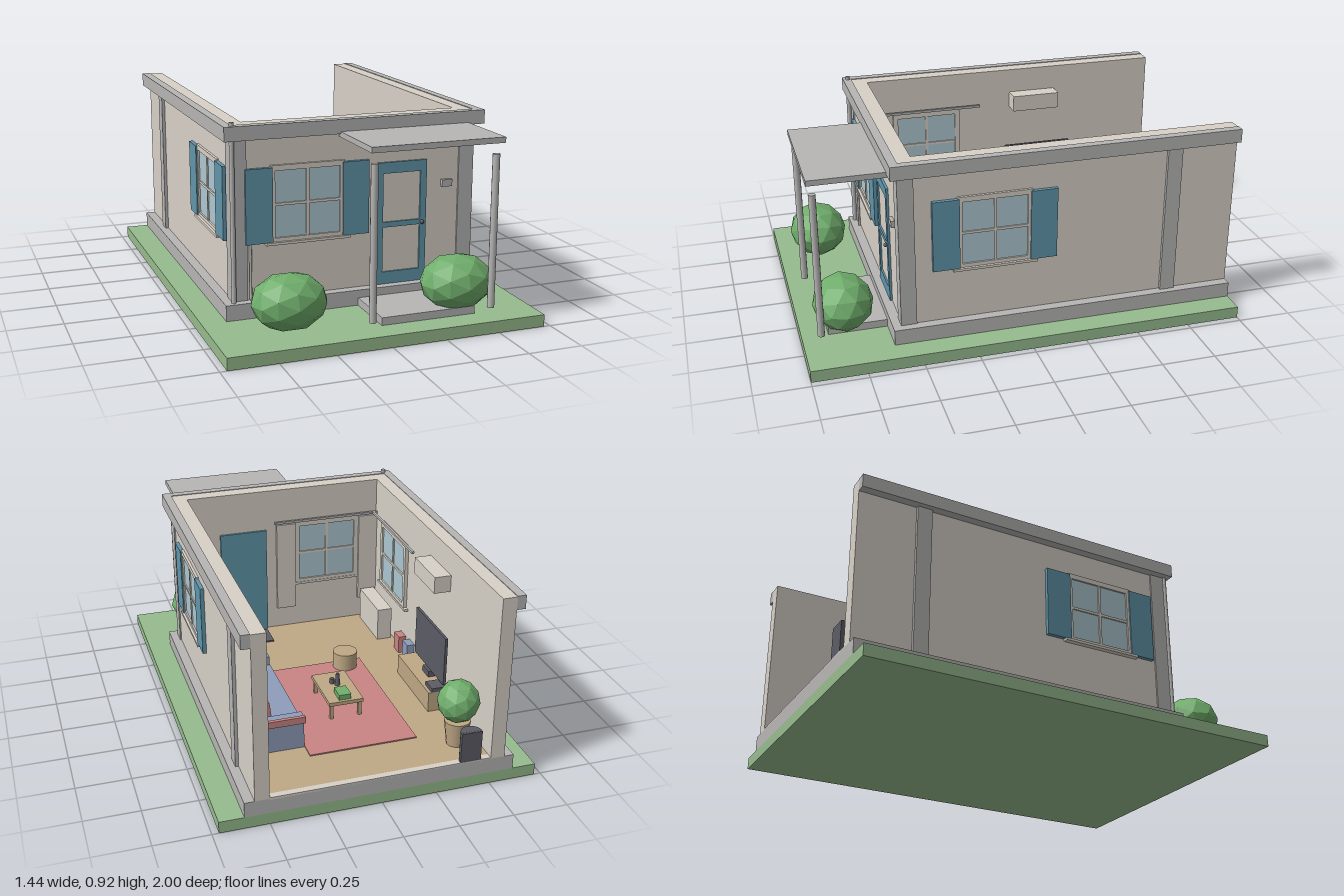
import * as THREE from 'three';

const mat = (name, color, extra = {}) => {
  const m = new THREE.MeshStandardMaterial({ color, ...extra });
  m.name = name;
  return m;
};

export function createModel() {
  const M = {
    lawn: mat('lawn green', 0x97bb8e),
    leaf: mat('leaf green', 0x70ae6c, { flatShading: true }),
    wall: mat('cream', 0xd8d1c7),
    grey: mat('stone grey', 0xb7b6b5),
    blue: mat('shutter blue', 0x6196ab),
    glass: mat('glass blue', 0xaec8d1),
    wood: mat('wood', 0xbfa885),
    red: mat('soft red', 0xca8484),
    sofa: mat('sofa blue', 0x8f9dba),
    dark: mat('charcoal', 0x5c5c66),
  };
  const root = new THREE.Group();
  root.name = 'cottage';

  const add = (parent, name, geo, m, x = 0, y = 0, z = 0) => {
    const mesh = new THREE.Mesh(geo, m);
    mesh.name = name;
    mesh.position.set(x, y, z);
    parent.add(mesh);
    return mesh;
  };
  // Box given by its minimum and maximum on each axis
  const box = (name, m, x0, x1, y0, y1, z0, z1, parent = root) =>
    add(parent, name, new THREE.BoxGeometry(x1 - x0, y1 - y0, z1 - z0), m,
      (x0 + x1) / 2, (y0 + y1) / 2, (z0 + z1) / 2);
  const pole = (name, m, x, z, r, y0, y1, sides = 12, rTop = r, parent = root) =>
    add(parent, name, new THREE.CylinderGeometry(rTop, r, y1 - y0, sides), m, x, (y0 + y1) / 2, z);
  const bush = (name, x, y, z, rx, ry, rz) =>
    add(root, name, new THREE.IcosahedronGeometry(1, 1), M.leaf, x, y, z).scale.set(rx, ry, rz);

  // Site and floor
  box('lawn', M.lawn, -0.72, 0.72, 0, 0.055, -1, 1);
  box('foundation', M.grey, -0.61, 0.61, 0.055, 0.126, -1, 0.61);
  box('floor', M.wood, -0.5, 0.5, 0.12, 0.131, -0.97, 0.495);
  box('threshold', M.wall, -0.5, 0.5, 0.12, 0.131, -1, -0.97);
  box('porchStep', M.grey, 0, 0.44, 0.055, 0.09, 0.61, 0.88);

  // Walls, cornice and pilasters
  box('frontWall', M.wall, -0.5, 0.5, 0.126, 0.9, 0.495, 0.565);
  box('frontCornice', M.grey, -0.605, 0.605, 0.84, 0.903, 0.565, 0.605);
  for (const s of [-1, 1]) {
    const side = (name, m, a, b, y0, y1, z0, z1) =>
      box(name, m, Math.min(s * a, s * b), Math.max(s * a, s * b), y0, y1, z0, z1);
    side('sideWall', M.wall, 0.5, 0.565, 0.126, 0.9, -1, 0.565);
    side('sideCornice', M.grey, 0.565, 0.605, 0.84, 0.903, -1, 0.565);
    side('cornerPilaster', M.grey, 0.5, 0.572, 0.126, 0.84, 0.5, 0.572);
    side('sidePilaster', M.grey, 0.56, 0.58, 0.126, 0.84, -0.73, -0.66);
  }

  // Window with shutters and curtains; local +z faces outdoors, z = 0 is the outer wall face
  const windowSet = (name, x, z, turn, curtains = true) => {
    const g = new THREE.Group();
    g.name = name;
    g.position.set(x, 0.545, z);
    g.rotation.y = turn;
    root.add(g);
    box('glass', M.glass, -0.15, 0.15, -0.15, 0.15, -0.074, 0.004, g);
    for (const s of [-1, 1]) {
      const c = s * 0.161, d = s * 0.223;
      box('frameSide', M.wall, c - 0.012, c + 0.012, -0.165, 0.165, -0.082, 0.012, g);
      box('frameRail', M.wall, -0.17, 0.17, c - 0.012, c + 0.012, -0.082, 0.012, g);
      box('shutter', M.blue, d - 0.061, d + 0.061, -0.167, 0.165, 0, 0.018, g);
      if (curtains) box('curtain', M.wall, d - 0.05, d + 0.05, -0.3, 0.17, -0.092, -0.075, g);
    }
    box('mullion', M.wall, -0.006, 0.006, -0.15, 0.15, -0.08, 0.01, g);
    box('crossbar', M.wall, -0.15, 0.15, -0.006, 0.006, -0.08, 0.01, g);
    box('sill', M.wall, -0.193, 0.193, -0.178, -0.166, -0.085, 0.024, g);
    box('curtainRod', M.grey, -0.28, 0.28, 0.175, 0.187, -0.092, -0.08, g);
  };
  windowSet('frontWindow', -0.225, 0.565, 0);
  windowSet('rightWindow', 0.565, 0.14, Math.PI / 2);
  windowSet('leftWindow', -0.565, 0.2, -Math.PI / 2, false);

  // Door: solid inside, framed panels outside
  box('doorPanel', M.blue, 0.1, 0.34, 0.128, 0.69, 0.484, 0.5);
  box('doorInset', M.wall, 0.12, 0.32, 0.13, 0.66, 0.56, 0.568);
  for (const x of [0.1, 0.31]) box('doorStile', M.blue, x, x + 0.03, 0.128, 0.69, 0.56, 0.576);
  for (const [a, b] of [[0.128, 0.185], [0.393, 0.417], [0.64, 0.69]])
    box('doorRail', M.blue, 0.13, 0.31, a, b, 0.56, 0.576);
  add(root, 'doorKnob', new THREE.SphereGeometry(0.01, 10, 8), M.dark, 0.318, 0.405, 0.583);
  box('letterBox', M.grey, 0.415, 0.465, 0.558, 0.59, 0.56, 0.582);
  box('coatHook', M.dark, 0.42, 0.44, 0.57, 0.59, 0.475, 0.496);

  // Porch roof, posts and downpipe
  box('porchRoof', M.grey, -0.085, 0.525, 0.825, 0.85, 0.58, 0.945);
  for (const x of [-0.06, 0.497]) pole('porchPost', M.grey, x, 0.918, 0.016, 0.09, 0.775);
  pole('downpipe', M.grey, -0.567, 0.582, 0.011, 0.126, 0.918);
  pole('thinPipe', M.grey, -0.487, 0.572, 0.006, 0.126, 0.38, 8);

  // Garden bushes
  bush('leftBush', -0.39, 0.185, 0.8, 0.168, 0.126, 0.138);
  bush('rightBush', 0.387, 0.185, 0.8, 0.168, 0.126, 0.138);

  // Rug and mat
  box('rug', M.red, -0.25, 0.25, 0.131, 0.137, -0.755, -0.02 + 0.04);
  box('doorMat', M.dark, 0.11, 0.33, 0.131, 0.138, 0.33, 0.465);

  // Sofa
  box('sofaSeat', M.sofa, 0.25, 0.5, 0.131, 0.245, -0.66, -0.07);
  box('sofaBack', M.sofa, 0.44, 0.5, 0.131, 0.36, -0.68, -0.06);
  for (const z of [-0.675, -0.105]) box('sofaArm', M.sofa, 0.252, 0.5, 0.131, 0.288, z, z + 0.045);
  box('throwEdge', M.red, 0.248, 0.5, 0.26, 0.292, -0.687, -0.67);
  box('throwFold', M.red, 0.248, 0.44, 0.24, 0.252, -0.62, -0.575);
  [[M.red, -0.57], [M.wood, -0.365], [M.sofa, -0.16]].forEach(([m, z]) => {
    const c = box('cushion', m, 0.388, 0.428, 0.245, 0.35, z - 0.055, z + 0.055);
    c.rotation.z = -0.12;
  });

  // Tables
  const table = (name, x0, x1, z0, z1, top) => {
    const g = new THREE.Group();
    g.name = name;
    root.add(g);
    box('tableTop', M.wood, x0, x1, top - 0.018, top, z0, z1, g);
    for (const x of [x0 + 0.015, x1 - 0.015])
      for (const z of [z0 + 0.015, z1 - 0.015])
        box('tableLeg', M.wood, x - 0.008, x + 0.008, 0.131, top - 0.018, z - 0.008, z + 0.008, g);
  };
  table('coffeeTable', -0.085, 0.08, -0.505, -0.23, 0.225);
  box('greenBox', M.leaf, -0.03, 0.028, 0.225, 0.25, -0.49, -0.41);
  pole('bottle', M.dark, -0.01, -0.35, 0.013, 0.225, 0.285, 10, 0.008);
  pole('cup', M.dark, 0.01, -0.328, 0.011, 0.225, 0.25, 10);
  table('sideTable', 0.36, 0.465, 0.05, 0.162, 0.27);
  box('sideTableBox', M.sofa, 0.385, 0.44, 0.27, 0.295, 0.065, 0.145);
  pole('stool', M.wood, -0.155, -0.032, 0.06, 0.131, 0.22, 18);

  // Floor lamp
  pole('lampBase', M.dark, 0.43, 0.245, 0.03, 0.131, 0.14, 14);
  pole('lampStem', M.dark, 0.43, 0.245, 0.005, 0.14, 0.52, 8);
  add(root, 'lampGlobe', new THREE.SphereGeometry(0.04, 12, 10), M.wood, 0.43, 0.545, 0.245);

  // Media wall
  box('mediaConsole', M.wood, -0.49, -0.385, 0.131, 0.23, -0.56, -0.17);
  box('screen', M.dark, -0.468, -0.455, 0.26, 0.5, -0.56, -0.21);
  box('screenStand', M.dark, -0.475, -0.44, 0.23, 0.26, -0.42, -0.35);
  box('mediaBox', M.dark, -0.47, -0.4, 0.23, 0.25, -0.56, -0.485);
  box('airUnit', M.wall, -0.5, -0.42, 0.7, 0.78, -0.485, -0.245);

  // Low cabinet and wall pieces
  box('lowCabinet', M.wall, -0.485, -0.41, 0.131, 0.3, 0.19, 0.465);
  box('blueBook', M.sofa, -0.5, -0.462, 0.131, 0.23, -0.095, -0.03);
  box('redBook', M.red, -0.5, -0.462, 0.131, 0.22, 0.02, 0.085);
  [[M.red, -0.455], [M.sofa, -0.275]].forEach(([m, z]) => {
    box('pictureFrame', M.dark, 0.49, 0.5, 0.49, 0.68, z - 0.075, z + 0.075);
    box('picture', m, 0.486, 0.491, 0.5, 0.67, z - 0.066, z + 0.066);
  });

  // Potted plant and half-round bin at the open end
  pole('plantPot', M.wood, -0.405, -0.84, 0.045, 0.131, 0.25, 12, 0.06);
  bush('pottedPlant', -0.405, 0.345, -0.84, 0.096, 0.1, 0.096);
  add(root, 'bin', new THREE.CylinderGeometry(0.048, 0.048, 0.145, 12, 1, false, -Math.PI / 2, Math.PI),
    M.dark, -0.405, 0.203, -0.99);
  box('binBack', M.dark, -0.453, -0.357, 0.131, 0.275, -0.999, -0.99);

  return root;
}
